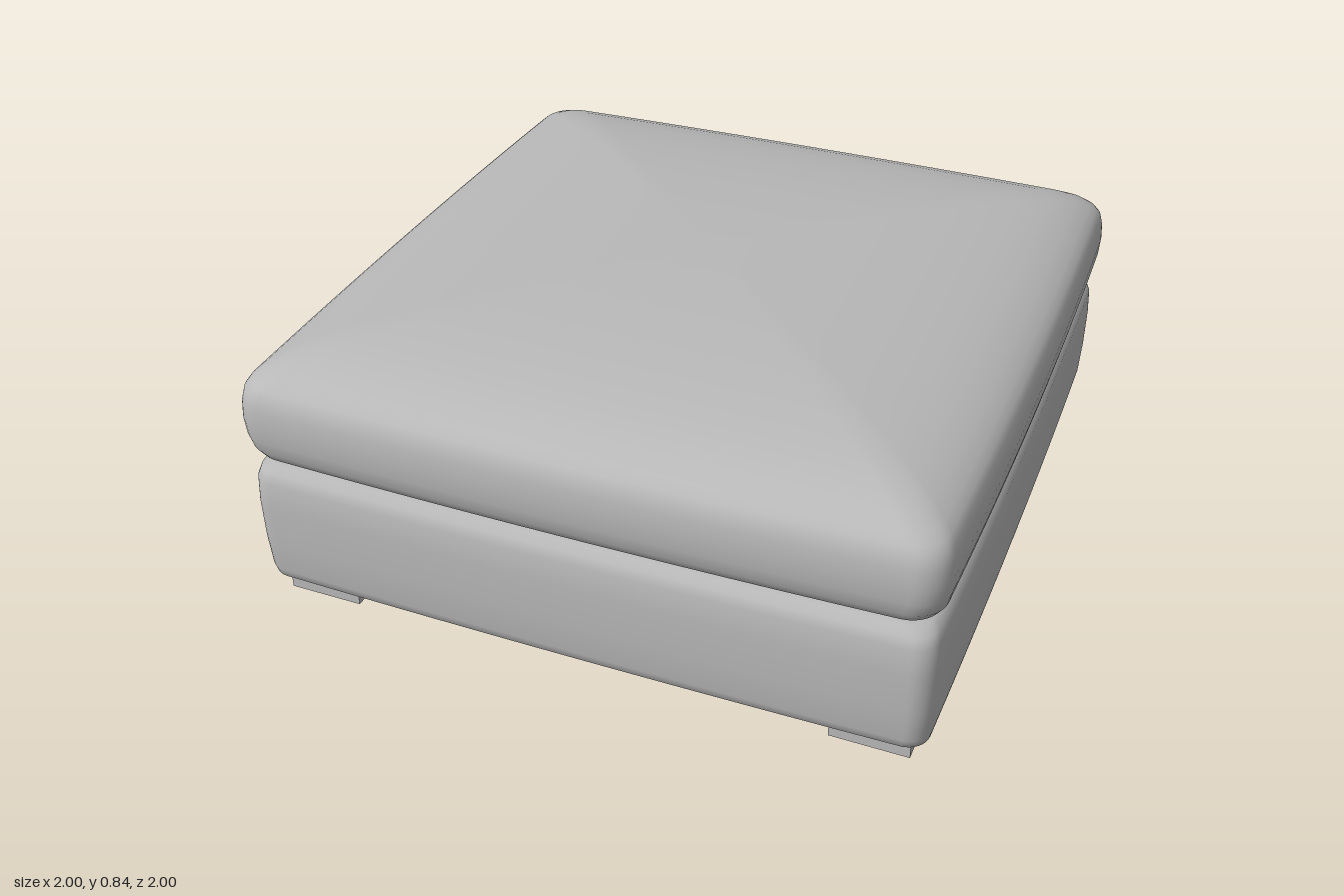
import * as THREE from 'three';
import { toCreasedNormals } from 'three/addons/utils/BufferGeometryUtils.js';

const fabric = new THREE.MeshStandardMaterial({ color: 0xb8b8b8 });
fabric.name = 'grey fabric';

// Rounded square outline of half-size s whose sides swell slightly outwards
function outline(s, corner, swell) {
  const r = s * corner, c = s - r, points = [];
  const arcSteps = 8, sideSteps = 12;
  for (let q = 0; q < 4; q++) {
    const local = [];
    for (let i = 0; i <= arcSteps; i++) {
      const a = (i / arcSteps) * Math.PI / 2;
      local.push([c + r * Math.cos(a), c + r * Math.sin(a)]);
    }
    for (let i = 1; i < sideSteps; i++) {
      const t = c - (2 * c * i) / sideSteps;
      const u = c ? t / c : 0;
      local.push([t, s + swell * s * (1 - u * u)]);
    }
    const cos = Math.round(Math.cos(q * Math.PI / 2)), sin = Math.round(Math.sin(q * Math.PI / 2));
    for (const [x, z] of local) points.push([x * cos - z * sin, x * sin + z * cos]);
  }
  return points;
}

// Stack outlines through [half-size, height] pairs, from the bottom up
function loft(profile, corner, swell) {
  const pos = [], index = [];
  let n = 0;
  for (const [s, y] of profile) {
    const ring = outline(s, corner, swell);
    n = ring.length;
    for (const [x, z] of ring) pos.push(x, y, z);
  }
  for (let k = 0; k < profile.length - 1; k++) {
    for (let j = 0; j < n; j++) {
      const a = k * n + j, b = k * n + (j + 1) % n;
      if (profile[k + 1][0] === 0) index.push(a, a + n, b);
      else if (profile[k][0] === 0) index.push(b, a + n, b + n);
      else index.push(a, a + n, b, b, a + n, b + n);
    }
  }
  const geo = new THREE.BufferGeometry();
  geo.setAttribute('position', new THREE.Float32BufferAttribute(pos, 3));
  geo.setIndex(index);
  return toCreasedNormals(geo, 0.8);
}

function addMesh(group, geo, name) {
  const mesh = new THREE.Mesh(geo, fabric);
  mesh.name = name;
  group.add(mesh);
  return mesh;
}

export function createModel() {
  const model = new THREE.Group();
  model.name = 'ottoman';

  // Upholstered box base
  addMesh(model, loft([
    [0, 0.062], [0.93, 0.062], [0.95, 0.063], [0.963, 0.075], [0.968, 0.1],
    [0.973, 0.2], [0.974, 0.32], [0.97, 0.4], [0.96, 0.43], [0.94, 0.444],
    [0.91, 0.45], [0, 0.45],
  ], 0.065, 0.009), 'base');

  // Plump seat cushion with a domed top
  addMesh(model, loft([
    [0, 0.455], [0.9, 0.455], [0.935, 0.465], [0.96, 0.482], [0.975, 0.51],
    [0.983, 0.55], [0.986, 0.6], [0.983, 0.65], [0.975, 0.685], [0.962, 0.705],
    [0.94, 0.724], [0.9, 0.747], [0.84, 0.77], [0.75, 0.79], [0.6, 0.811],
    [0.4, 0.826], [0.2, 0.834], [0, 0.837],
  ], 0.09, 0.014), 'cushion');

  // L-shaped corner feet
  const inner = 0.7, outer = 0.92, t = 0.07;
  for (const sx of [-1, 1]) {
    for (const sz of [-1, 1]) {
      const shape = new THREE.Shape([
        [inner, outer], [inner, outer - t], [outer - t, outer - t],
        [outer - t, inner], [outer, inner], [outer, outer],
      ].map(([x, z]) => new THREE.Vector2(x * sx, -z * sz)));
      const geo = new THREE.ExtrudeGeometry(shape, { depth: 0.075, bevelEnabled: false });
      geo.rotateX(-Math.PI / 2);
      addMesh(model, geo, `${sz > 0 ? 'front' : 'back'}${sx > 0 ? 'Left' : 'Right'}Foot`);
    }
  }
  return model;
}
